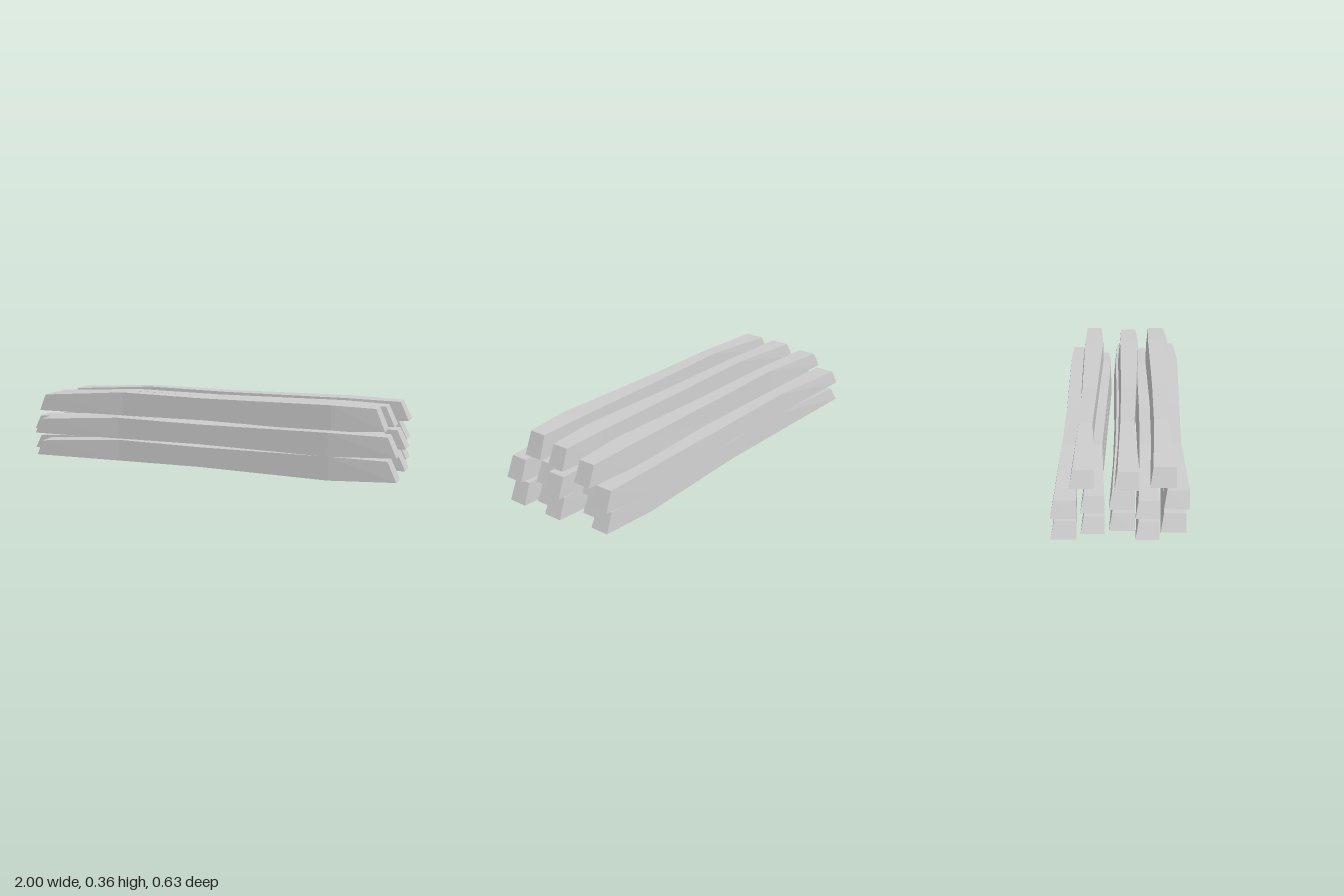
import * as THREE from 'three';

// Hewn cross-sections along a plank: x station, then 0..1 fractions of its height and depth
const SECTIONS = [
  { x: -1, bottom: 0.1, top: 0.76, front: 0.96, backLow: 0.0, backHigh: 0.12 },
  { x: -0.45, bottom: 0.07, top: 1.0, front: 0.78, backLow: 0.1, backHigh: 0.2 },
  { x: 0, bottom: 0.1, top: 0.96, front: 0.87, backLow: 0.11, backHigh: 0.2 },
  { x: 0.67, bottom: 0.0, top: 1.0, front: 1.0, backLow: 0.0, backHigh: 0.11 },
  { x: 1, bottom: 0.1, top: 0.94, front: 0.86, backLow: 0.07, backHigh: 0.14 },
];
const SLANT = [0.035, 0, 0, 0, -0.045]; // the ends lean inward at the top

function plankGeometry([x0, x1, y0, y1, z0, z1]) {
  const pos = [];
  const index = [];
  const last = SECTIONS.length - 1;
  SECTIONS.forEach((s, i) => {
    const x = i === 0 ? x0 : i === last ? x1 : s.x;
    const y = (t) => y0 + t * (y1 - y0);
    const z = (t) => z0 + t * (z1 - z0);
    pos.push(x, y(s.bottom), z(s.front));
    pos.push(x, y(s.bottom), z(s.backLow));
    pos.push(x + SLANT[i], y(s.top), z(s.backHigh));
    pos.push(x + SLANT[i], y(s.top), z(s.front));
  });
  for (let i = 0; i < last; i++) {
    for (let j = 0; j < 4; j++) {
      const a = i * 4 + j;
      const b = i * 4 + ((j + 1) % 4);
      index.push(a, b, b + 4, a, b + 4, a + 4);
    }
  }
  const e = last * 4;
  index.push(0, 2, 1, 0, 3, 2, e, e + 1, e + 2, e, e + 2, e + 3);
  const geo = new THREE.BufferGeometry();
  geo.setAttribute('position', new THREE.Float32BufferAttribute(pos, 3));
  geo.setIndex(index);
  const flat = geo.toNonIndexed();
  flat.computeVertexNormals();
  return flat;
}

// Each plank: left end, right end, bottom, top, back, front
const ROWS = {
  bottomPlank: [
    [-0.92, 1.0, 0.0, 0.118, 0.18, 0.302],
    [-1.0, 0.94, 0.01, 0.116, 0.065, 0.177],
    [-0.92, 1.0, 0.006, 0.12, -0.055, 0.068],
    [-0.95, 0.885, 0.01, 0.116, -0.182, -0.07],
    [-1.0, 0.96, 0.01, 0.118, -0.314, -0.193],
  ],
  middlePlank: [
    [-0.92, 1.0, 0.12, 0.237, 0.193, 0.315],
    [-1.0, 0.94, 0.116, 0.225, 0.065, 0.177],
    [-0.92, 1.0, 0.116, 0.228, -0.055, 0.068],
    [-0.95, 0.885, 0.115, 0.22, -0.182, -0.07],
    [-1.0, 0.96, 0.115, 0.227, -0.314, -0.193],
  ],
  topPlank: [
    [-0.925, 0.93, 0.23, 0.36, 0.13, 0.253],
    [-0.95, 0.945, 0.228, 0.345, -0.03, 0.087],
    [-0.925, 0.98, 0.225, 0.34, -0.232, -0.115],
  ],
};

export function createModel() {
  const model = new THREE.Group();
  model.name = 'plankStack';
  const material = new THREE.MeshStandardMaterial({ color: 0xcccccc, flatShading: true });
  for (const [name, planks] of Object.entries(ROWS)) {
    planks.forEach((plank, i) => {
      const mesh = new THREE.Mesh(plankGeometry(plank), material);
      mesh.name = `${name}${i + 1}`;
      model.add(mesh);
    });
  }
  return model;
}
